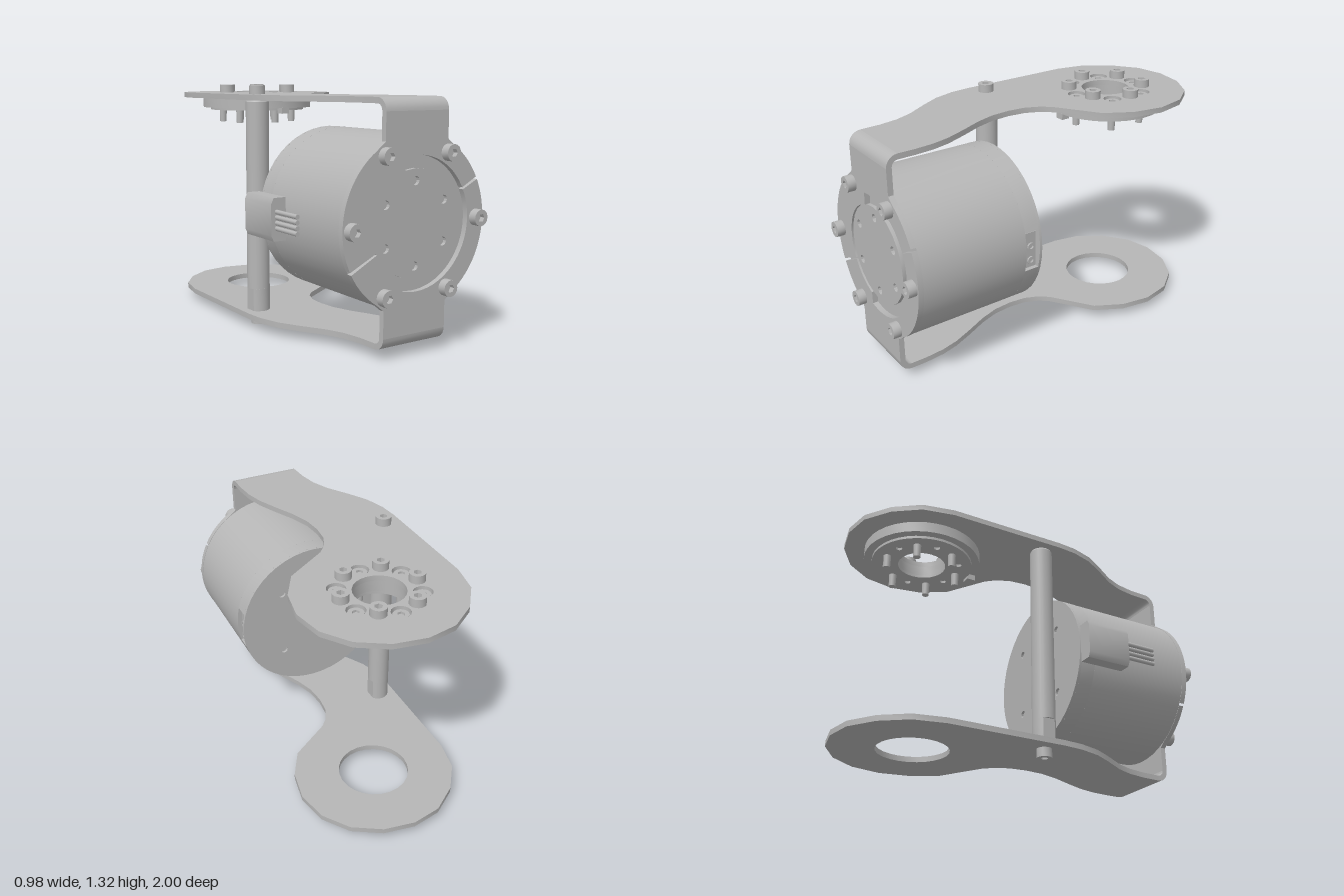
import * as THREE from 'three';
import { toCreasedNormals } from 'three/addons/utils/BufferGeometryUtils.js';

const CX = 0.04, CY = 0.66;      // motor axis
const RZ = -0.555;               // bearing axis z
const T = 0.03;                  // sheet thickness

export function createModel() {
  const model = new THREE.Group();
  model.name = 'motorBracket';
  const metal = new THREE.MeshStandardMaterial({ color: 0xb6b6b6 });
  metal.name = 'greyMetal';

  const add = (name, geo, x = 0, y = 0, z = 0, parent = model) => {
    const m = new THREE.Mesh(geo, metal);
    m.name = name;
    m.position.set(x, y, z);
    parent.add(m);
    return m;
  };
  const v = (x, y) => new THREE.Vector2(x, y);
  const ngon = (r, n, x = 0, y = 0, a0 = 0) => Array.from({ length: n }, (_, i) => {
    const a = a0 + (i / n) * Math.PI * 2;
    return v(x + r * Math.cos(a), y + r * Math.sin(a));
  });
  // extrude an outline with holes along +z, keeping curved walls smooth
  const slab = (outline, holes, depth) => {
    const s = new THREE.Shape(outline);
    holes.forEach((h) => s.holes.push(new THREE.Path(h)));
    return toCreasedNormals(new THREE.ExtrudeGeometry(s, { depth, bevelEnabled: false }), 0.5);
  };
  const flat = (outline, holes, depth) => slab(outline, holes, depth).rotateX(-Math.PI / 2);
  const ringPoints = (n, r, a0, x = 0, y = 0) => ngon(r, n, x, y, a0);

  // socket-head screw, base at the origin, head along +z
  const screw = (name, x, y, z, r = 0.043, h = 0.045) => {
    const g = new THREE.Group();
    g.name = name;
    g.position.set(x, y, z);
    add('screwHead', slab(ngon(r, 16), [ngon(r * 0.5, 6)], h), 0, 0, 0, g);
    add('socketFloor', slab(ngon(r * 0.7, 12), [], h * 0.4), 0, 0, 0, g);
    model.add(g);
    return g;
  };

  // curved arm plates, points as (x, z)
  const armPts = [
    [-0.155, 0.89], [-0.16, 0.78], [-0.18, 0.67], [-0.22, 0.57], [-0.30, 0.44], [-0.36, 0.33],
    [-0.395, 0.21], [-0.405, 0.1], [-0.405, -0.56], [-0.37, -0.73], [-0.27, -0.87], [-0.13, -0.97],
    [0.03, -1.0], [0.2, -0.97], [0.35, -0.88], [0.45, -0.74], [0.485, -0.57], [0.455, -0.4],
    [0.37, -0.25], [0.14, -0.1], [0.095, -0.05], [0.06, 0.03], [0.05, 0.13], [0.06, 0.24],
    [0.095, 0.35], [0.15, 0.47], [0.2, 0.59], [0.225, 0.69], [0.235, 0.8], [0.235, 0.89],
  ].map(([x, z]) => v(x, -z));
  const step30 = Math.PI / 6;
  const sunk = ringPoints(6, 0.21, step30, CX, -RZ);
  const raised = ringPoints(6, 0.21, 0, CX, -RZ);
  add('topArm', flat(armPts, [ngon(0.135, 24, CX, -RZ), ...sunk.map((p) => ngon(0.05, 14, p.x, p.y))], T), 0, 1.24, 0);
  add('bottomArm', flat(armPts, [ngon(0.195, 24, CX, -RZ)], T), 0, 0.05, 0);

  // rounded bends joining the arms to the front plate
  const bend = (sign) => {
    const pts = [];
    const zc = 0.89, b = 0.065;
    for (let i = 0; i <= 6; i++) {
      const a = (i / 6) * Math.PI / 2;
      pts.push(v(-(zc + b * Math.sin(a)), b * Math.cos(a) * sign));
    }
    for (let i = 6; i >= 0; i--) {
      const a = (i / 6) * Math.PI / 2;
      pts.push(v(-(zc + (b - T) * Math.sin(a)), (b - T) * Math.cos(a) * sign));
    }
    return slab(pts, [], 0.39).rotateY(Math.PI / 2);
  };
  add('topBend', bend(1), -0.155, 1.205, 0);
  add('bottomBend', bend(-1), -0.155, 0.115, 0);

  // front plate halves: ring with an uneven opening and a tab to each bend
  const half = (a0, a1, s) => {
    const outer = [], inner = [];
    const n = 48;
    let tab = false;
    for (let i = 0; i <= n; i++) {
      const a = a0 + ((a1 - a0) * i) / n;
      const x = 0.44 * Math.cos(a), y = 0.44 * Math.sin(a);
      if (Math.abs(x) > 0.235) outer.push(v(x, y));
      else if (!tab) {
        tab = true;
        outer.push(v(0.195 * s, 0.405 * s), v(0.195 * s, 0.545 * s),
          v(-0.195 * s, 0.545 * s), v(-0.195 * s, 0.405 * s));
      }
      const r = Math.cos(a) < -0.25 ? 0.27 : 0.335;
      inner.push(v(r * Math.cos(a), r * Math.sin(a)));
    }
    return slab([...outer, ...inner.reverse()], [], T);
  };
  const deg = Math.PI / 180;
  add('frontPlateUpper', half(28 * deg, 206 * deg, 1), CX, CY, 0.925);
  add('frontPlateLower', half(208 * deg, 386 * deg, -1), CX, CY, 0.925);
  ringPoints(6, 0.39, 0, CX, CY).forEach((p) => screw('frontScrew', p.x, p.y, 0.955));

  // motor: back cap with mounting holes, section with a side port, main can, front hub
  const round = ngon(0.438, 48);
  const backHoles = [-1, 1].flatMap((i) => [-1, 1].map((j) => ngon(0.022, 12, 0.195 * i, 0.195 * j)));
  add('motorBackCap', slab(round, backHoles, 0.015), CX, CY, 0.22);
  const ported = [v(0.39, -0.11), v(0.39, 0.11)];
  for (let i = 0; i <= 46; i++) {
    const a = (14.5 + (331 * i) / 46) * deg;
    ported.push(v(0.438 * Math.cos(a), 0.438 * Math.sin(a)));
  }
  add('motorPortSection', slab(ported, [], 0.085), CX, CY, 0.235);
  add('motorCan', slab(round, [], 0.605), CX, CY, 0.32);
  add('motorHub', slab(ngon(0.27, 24), ringPoints(6, 0.21, step30).map((p) => ngon(0.023, 12, p.x, p.y)), 0.02), CX, CY, 0.925);

  // side port insert with two round contacts
  add('portInsert', new THREE.BoxGeometry(0.025, 0.2, 0.065), CX + 0.4, CY, 0.277);
  for (const y of [-0.06, 0.02]) {
    add('portContact', slab(ngon(0.022, 14), [ngon(0.012, 10)], 0.01).rotateY(Math.PI / 2), CX + 0.412, CY + y, 0.277);
  }

  // cable connector on the right flank, with four wires
  const plug = [v(-0.04, -0.08), v(-0.025, -0.11), v(0.045, -0.11), v(0.045, 0.11), v(-0.025, 0.11), v(-0.04, 0.08)];
  add('connectorBody', slab(plug, [], 0.26), -0.45, CY, 0.22);
  add('connectorFoot', new THREE.BoxGeometry(0.05, 0.17, 0.1), -0.395, CY, 0.28);
  for (let i = 0; i < 4; i++) {
    add('wire', new THREE.CylinderGeometry(0.012, 0.012, 0.2, 10).rotateX(Math.PI / 2), -0.458, 0.615 + i * 0.028, 0.57);
  }

  // spacer post with wrench flats at the lower end
  const PX = -0.305, PZ = 0.035;
  add('post', new THREE.CylinderGeometry(0.0625, 0.0625, 1.025, 24), PX, 0.7175, PZ);
  add('postTopChamfer', new THREE.CylinderGeometry(0.056, 0.0625, 0.01, 24), PX, 1.235, PZ);
  const flats = ngon(0.0625, 32).map((p) => v(THREE.MathUtils.clamp(p.x, -0.052, 0.052), p.y));
  add('postFlats', flat(flats, [], 0.125), PX, 0.08, PZ);
  screw('postTopScrew', PX, 1.27, PZ).rotation.x = -Math.PI / 2;
  screw('postBottomScrew', PX, 0.05, PZ, 0.041, 0.05).rotation.x = Math.PI / 2;

  // bearing flange below the top arm
  const bore = ngon(0.135, 24);
  const pinHoles = ringPoints(6, 0.21, 0).map((p) => ngon(0.018, 10, p.x, p.y));
  add('bearingFlange', flat(ngon(0.33, 36), [bore], 0.06), CX, 1.18, RZ);
  add('bearingRing', flat(ngon(0.285, 36), [bore, ...pinHoles], 0.015), CX, 1.165, RZ);
  add('bearingTab', new THREE.BoxGeometry(0.05, 0.035, 0.05), CX, 1.165, RZ + 0.305);

  // raised screws above the arm, and sunk screws whose tips stick out below
  raised.forEach((p) => { screw('ringScrew', p.x, 1.27, -p.y).rotation.x = -Math.PI / 2; });
  sunk.forEach((p) => {
    screw('sunkScrew', p.x, 1.238, -p.y, 0.04, 0.02).rotation.x = -Math.PI / 2;
    add('screwTip', new THREE.CylinderGeometry(0.022, 0.02, 0.08, 12), p.x, 1.13, -p.y);
  });

  return model;
}
